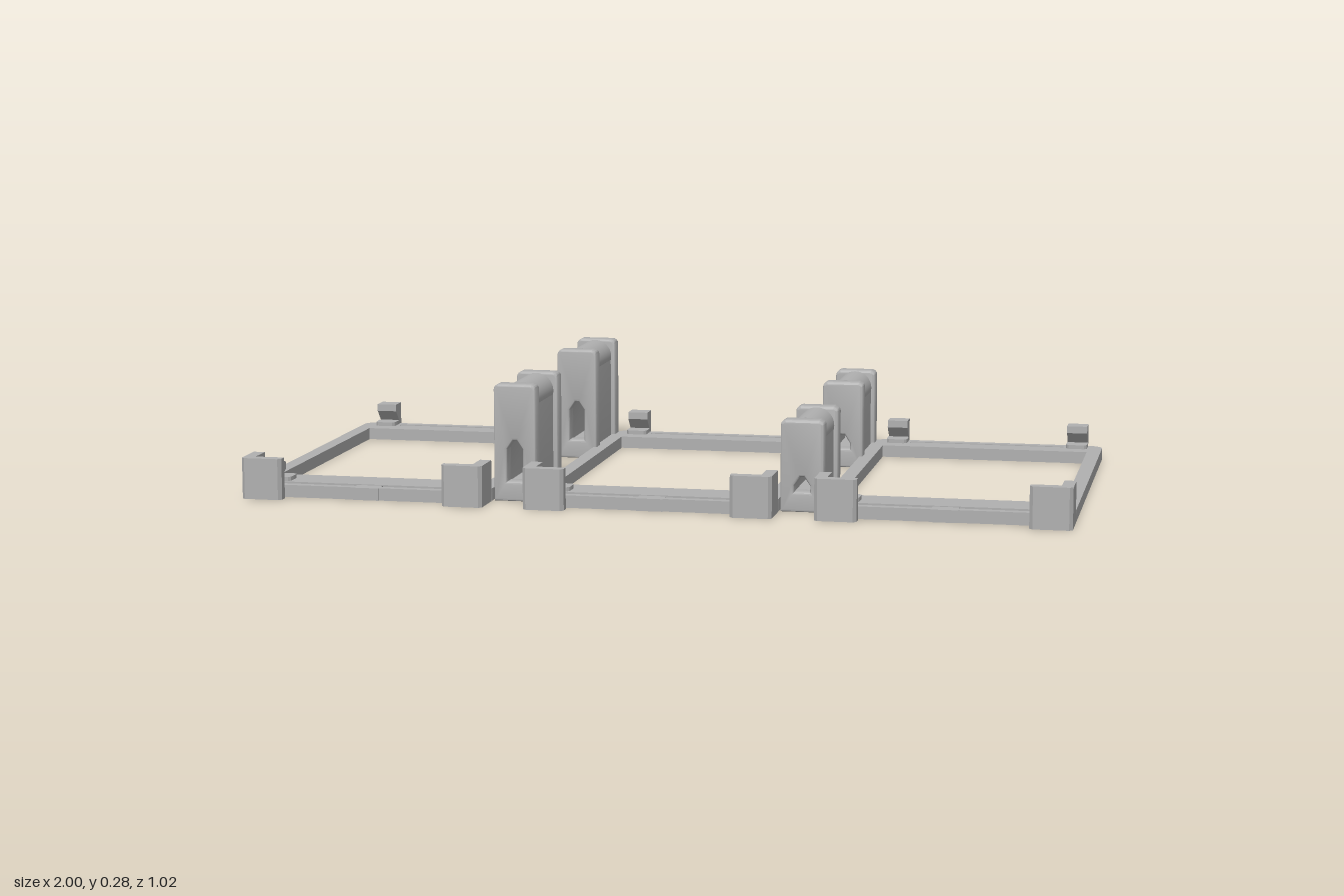
import * as THREE from 'three';
import { RoundedBoxGeometry } from 'three/addons/geometries/RoundedBoxGeometry.js';
import { toCreasedNormals } from 'three/addons/utils/BufferGeometryUtils.js';

const grey = new THREE.MeshStandardMaterial({ color: 0xb0b0b0 });
grey.name = 'matte grey';

function add(parent, name, geometry, x = 0, y = 0, z = 0) {
  const mesh = new THREE.Mesh(geometry, grey);
  mesh.name = name;
  mesh.position.set(x, y, z);
  parent.add(mesh);
  return mesh;
}

// box given by its limits
function box(parent, name, x0, x1, y0, y1, z0, z1) {
  return add(parent, name, new THREE.BoxGeometry(x1 - x0, y1 - y0, z1 - z0),
    (x0 + x1) / 2, (y0 + y1) / 2, (z0 + z1) / 2);
}

// rectangle with separate corner radii for its lower and upper corners
function roundRect(x0, x1, y0, y1, low, high) {
  const s = new THREE.Shape();
  s.moveTo(x0 + low, y0);
  s.lineTo(x1 - low, y0);
  if (low) s.absarc(x1 - low, y0 + low, low, -Math.PI / 2, 0);
  s.lineTo(x1, y1 - high);
  if (high) s.absarc(x1 - high, y1 - high, high, 0, Math.PI / 2);
  s.lineTo(x0 + high, y1);
  if (high) s.absarc(x0 + high, y1 - high, high, Math.PI / 2, Math.PI);
  s.lineTo(x0, y0 + low);
  if (low) s.absarc(x0 + low, y0 + low, low, Math.PI, Math.PI * 1.5);
  return s;
}

function polygon(points) {
  return new THREE.Shape(points.map(([x, y]) => new THREE.Vector2(x, y)));
}

function extrude(shape, depth) {
  const g = new THREE.ExtrudeGeometry(shape, { depth, bevelEnabled: false, curveSegments: 10 });
  return toCreasedNormals(g, 0.6);
}

// plan outlines use shape y = -z, and are extruded upwards
function plan(shape, height) {
  return extrude(shape, height).rotateX(-Math.PI / 2);
}

// side outlines use [z, y], and are extruded along x, centred
function side(points, width) {
  return extrude(polygon(points.map(([z, y]) => [-z, y])), width)
    .rotateY(Math.PI / 2).translate(-width / 2, 0, 0);
}

function buildTray(x) {
  const tray = new THREE.Group();
  tray.name = 'tray';
  tray.position.x = x;

  // open frame in two layers, the upper one with a groove along the back
  const frame = (groove) => {
    const s = roundRect(-0.3, 0.3, -0.42, 0.5, 0.015, 0.035);
    s.holes.push(roundRect(-0.265, 0.265, -0.32, 0.4, 0, 0));
    if (groove) s.holes.push(roundRect(-0.2, 0.2, 0.463, 0.475, 0, 0));
    return s;
  };
  add(tray, 'frameBase', plan(frame(false), 0.018));
  add(tray, 'frameTop', plan(frame(true), 0.012), 0, 0.018, 0);

  // front rail, held by a centre tab
  box(tray, 'frontRail', -0.275, 0.275, 0, 0.03, 0.443, 0.464);
  box(tray, 'centreTab', -0.032, 0.032, 0, 0.03, 0.43, 0.468);
  for (const s of [-1, 1]) {
    box(tray, 'railEnd', s * 0.25 - 0.02, s * 0.25 + 0.02, 0, 0.03, 0.415, 0.45);

    // corner guard wrapping the front corner
    const guard = polygon([[-0.3, -0.415], [-0.3, -0.5], [-0.292, -0.508], [-0.208, -0.508],
      [-0.2, -0.5], [-0.2, -0.48], [-0.272, -0.48], [-0.272, -0.415]]);
    const g = plan(guard, 0.1);
    if (s > 0) g.rotateY(Math.PI).scale(1, 1, -1);
    if (s > 0) {
      // mirrored copy needs its corner order reversed
      const p = g.attributes.position, n = g.attributes.normal;
      for (let i = 0; i < p.count; i += 3) {
        for (const a of [p, n]) {
          const v1 = new THREE.Vector3().fromBufferAttribute(a, i + 1);
          const v2 = new THREE.Vector3().fromBufferAttribute(a, i + 2);
          a.setXYZ(i + 1, v2.x, v2.y, v2.z);
          a.setXYZ(i + 2, v1.x, v1.y, v1.z);
        }
      }
    }
    add(tray, 'cornerGuard', g);

    // catch on the inner side of the guard
    const lug = [[0.44, 0.04], [0.402, 0.06], [0.402, 0.075], [0.42, 0.082], [0.44, 0.082]];
    add(tray, 'guardCatch', side(lug, 0.055), s * 0.25, 0, 0);

    // low pads on the front and back rails
    for (const z of [0.387, -0.47])
      add(tray, 'pad', plan(roundRect(-0.027, 0.027, -0.027, 0.027, 0.012, 0.012), 0.01), s * 0.235, 0.03, z);

    // back post with hook facing inward
    const hook = [[-0.51, 0], [-0.49, 0], [-0.49, 0.04], [-0.463, 0.068], [-0.463, 0.086], [-0.51, 0.086]];
    add(tray, 'backHook', side(hook, 0.052), s * 0.235, 0, 0);
  }
  return tray;
}

// pointed slot running through a hinge
function slot(top) {
  return polygon([[-0.025, 0.042], [0.025, 0.042], [0.025, top - 0.025], [0.008, top], [-0.008, top], [-0.025, top - 0.025]]);
}

function buildHinge(x, z, height) {
  const hinge = new THREE.Group();
  hinge.name = 'hinge';
  hinge.position.set(x, 0, z);
  const slotTop = height - 0.13;

  // end plates with softened edges
  for (const s of [-1, 1]) {
    const shape = roundRect(-0.046, 0.046, 0.006, height - 0.006, 0, 0.008);
    shape.holes.push(slot(slotTop));
    const g = new THREE.ExtrudeGeometry(shape, {
      depth: 0.032, bevelThickness: 0.006, bevelSize: 0.006, bevelSegments: 3, curveSegments: 6,
    });
    add(hinge, 'endPlate', toCreasedNormals(g, 0.6), 0, 0, s * 0.109 - 0.016);

    // cone pivot between plate and leaf
    const cone = new THREE.CylinderGeometry(0.018, 0.034, 0.012, 24).rotateX(s * Math.PI / 2);
    add(hinge, 'pivot', cone, 0, height - 0.043, s * 0.084);
  }

  // leaf with rounded top and hollow channel
  const leaf = roundRect(-0.042, 0.042, 0, height - 0.002, 0, 0.0415);
  leaf.holes.push(slot(slotTop));
  add(hinge, 'leaf', extrude(leaf, 0.16), 0, 0, -0.08);

  // knuckle barrel along the top of the leaf
  const barrel = new THREE.CylinderGeometry(0.043, 0.043, 0.164, 32).rotateX(Math.PI / 2);
  add(hinge, 'barrel', barrel, 0, height - 0.044, 0);

  // foot joining the hinge to both trays
  add(hinge, 'foot', new RoundedBoxGeometry(0.112, 0.026, 0.16, 1, 0.002), 0, 0.013, 0);
  return hinge;
}

export function createModel() {
  const model = new THREE.Group();
  model.name = 'hingedTrays';
  for (const x of [-0.7, 0, 0.7]) model.add(buildTray(x));
  for (const [x, height] of [[-0.343, 0.284], [0.356, 0.22]])
    for (const z of [0.279, -0.35]) model.add(buildHinge(x, z, height));
  return model;
}
